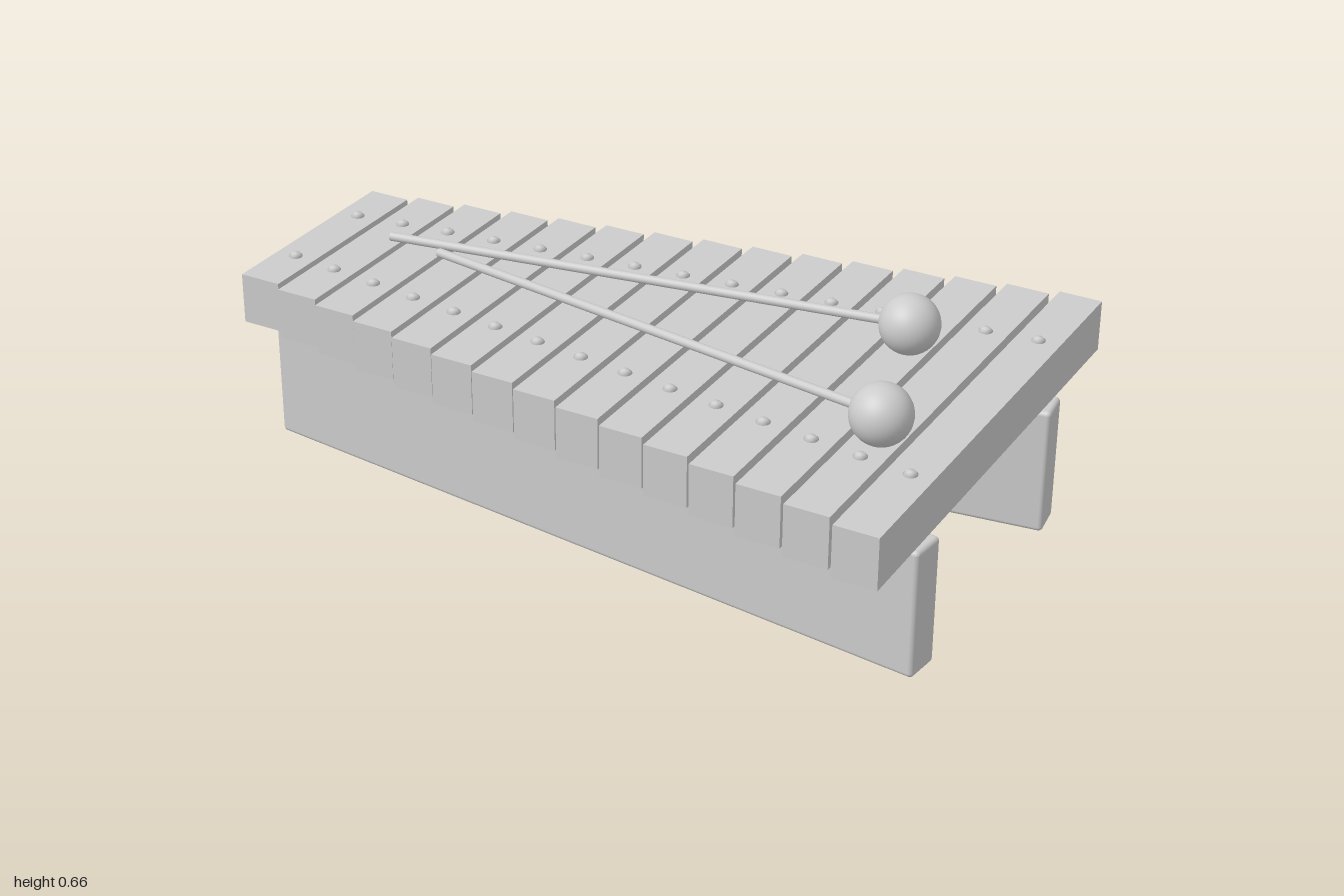
import * as THREE from 'three';
import { RoundedBoxGeometry } from 'three/addons/geometries/RoundedBoxGeometry.js';

const grey = new THREE.MeshStandardMaterial({ color: 0xcccccc });
const BARS = 15;

function add(parent, name, geometry, x, y, z) {
  const mesh = new THREE.Mesh(geometry, grey);
  mesh.name = name;
  mesh.position.set(x, y, z);
  parent.add(mesh);
  return mesh;
}

// Stick with a ball on its far end
function makeMallet(name, tail, head) {
  const mallet = new THREE.Group();
  mallet.name = name;
  const a = new THREE.Vector3(...tail), b = new THREE.Vector3(...head);
  const dir = b.clone().sub(a);
  const mid = a.clone().add(b).multiplyScalar(0.5);
  const stick = add(mallet, 'malletStick', new THREE.CylinderGeometry(0.012, 0.012, dir.length(), 16), mid.x, mid.y, mid.z);
  stick.quaternion.setFromUnitVectors(new THREE.Vector3(0, 1, 0), dir.normalize());
  add(mallet, 'malletHead', new THREE.SphereGeometry(0.077, 32, 24), b.x, b.y, b.z);
  return mallet;
}

export function createModel() {
  const model = new THREE.Group();
  model.name = 'xylophone';

  // Two diverging support rails with softened edges
  const railGeo = new RoundedBoxGeometry(1.985, 0.345, 0.1, 3, 0.012);
  for (const side of [1, -1]) {
    const rail = add(model, side > 0 ? 'frontRail' : 'backRail', railGeo, 0.006, 0.1725, side * 0.26);
    rail.rotation.y = -side * 0.121;
  }

  // Pin through each bar, domed at both ends
  const pinGeo = new THREE.LatheGeometry([
    [0, 0.365], [0.01, 0.366], [0.018, 0.372], [0.018, 0.513], [0.01, 0.521], [0, 0.523],
  ].map(([r, y]) => new THREE.Vector2(r, y)), 16);

  // Bars grow longer towards +x
  for (let i = 0; i < BARS; i++) {
    const t = i / (BARS - 1);
    const x = THREE.MathUtils.lerp(-0.943, 0.932, t);
    const length = THREE.MathUtils.lerp(0.595, 1.317, t);
    add(model, 'bar' + (i + 1), new THREE.BoxGeometry(0.115, 0.137, length), x, 0.4425, 0);
    for (const side of [1, -1]) {
      add(model, 'pin', pinGeo, x, 0, side * THREE.MathUtils.lerp(0.142, 0.376, t) - 0.002);
    }
  }

  // Mallets resting across the bars
  model.add(makeMallet('backMallet', [-0.78, 0.522, -0.065], [0.677, 0.587, -0.167]));
  model.add(makeMallet('frontMallet', [-0.615, 0.522, -0.045], [0.81, 0.587, 0.277]));
  return model;
}
